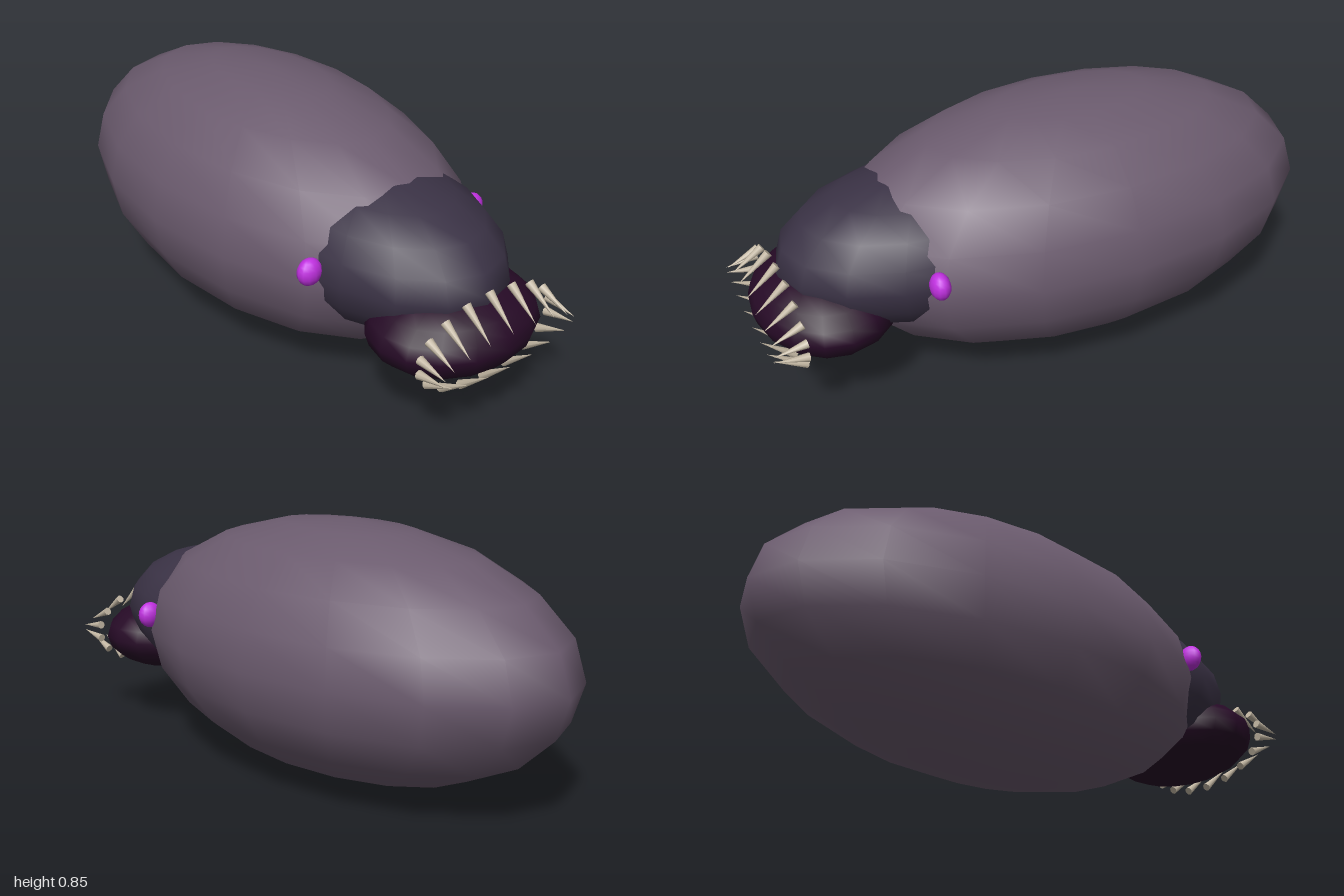
import * as THREE from 'three';

const mat = (name, color) => {
  const m = new THREE.MeshStandardMaterial({ color });
  m.name = name;
  return m;
};

export function createModel() {
  const model = new THREE.Group();
  model.name = 'toothyGrub';
  const skin = mat('dusty mauve skin', 0x6b5b6e);
  const hood = mat('dark plum hood', 0x3a3245);
  const maw = mat('deep purple mouth', 0x260a26);
  const ivory = mat('ivory teeth', 0xc4b8a4);
  const glow = mat('magenta eyes', 0xc030e0);

  // Stretched low-poly ball with smooth normals
  const ellipsoid = (name, material, pos, radii, w = 16, h = 10) => {
    const geo = new THREE.SphereGeometry(1, w, h).scale(...radii);
    const mesh = new THREE.Mesh(geo, material);
    mesh.name = name;
    mesh.position.set(...pos);
    model.add(mesh);
    return mesh;
  };

  ellipsoid('body', skin, [0, 0.423, -0.13], [0.475, 0.423, 0.87]);
  ellipsoid('head', hood, [0, 0.45, 0.4], [0.325, 0.245, 0.5]);
  ellipsoid('mouth', maw, [0, 0.325, 0.76], [0.29, 0.135, 0.23]);

  // Eyes on both sides of the head
  for (const [name, s] of [['leftEye', 1], ['rightEye', -1]]) {
    ellipsoid(name, glow, [s * 0.333, 0.477, 0.495], [0.042, 0.044, 0.032], 12, 10);
  }

  // Ring of teeth, leaning up or down towards the middle of the mouth
  const teeth = new THREE.Group();
  teeth.name = 'teeth';
  const count = 18;
  const up = new THREE.Vector3(0, 1, 0);
  for (let i = 0; i < count; i++) {
    const a = (i / count) * Math.PI * 2;
    const axis = new THREE.Vector3(0, -0.09 * Math.cos(a), 0.105);
    const tooth = new THREE.Mesh(new THREE.ConeGeometry(0.0145, axis.length(), 8), ivory);
    tooth.name = 'tooth';
    tooth.position.set(0.266 * Math.sin(a), 0.333 + 0.1 * Math.cos(a), 0.9475);
    tooth.quaternion.setFromUnitVectors(up, axis.normalize());
    teeth.add(tooth);
  }
  model.add(teeth);
  return model;
}
